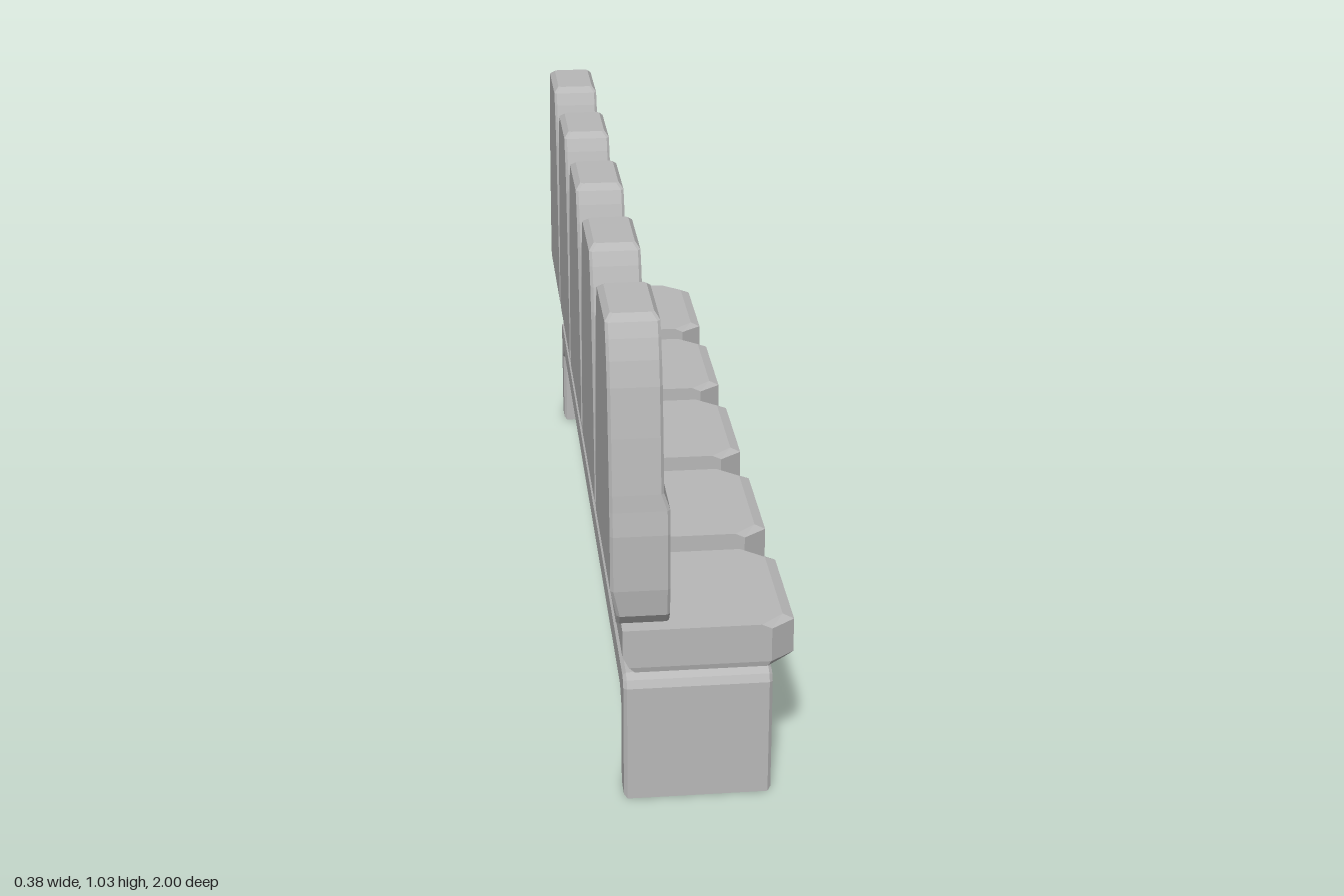
import * as THREE from 'three';

const grey = new THREE.MeshStandardMaterial({ color: 0xb8b8b8 });
grey.name = 'plain grey';

// Faceted solid through horizontal convex outlines: rows of { y, pts: [[x, z], ...] }
function loft(rows) {
  const pos = [];
  const n = rows[0].pts.length;
  const v = (r, i) => {
    const [x, z] = rows[r].pts[i % n];
    return [x, rows[r].y, z];
  };
  const tri = (a, b, c) => pos.push(...a, ...b, ...c);
  const last = rows.length - 1;
  for (let r = 0; r < last; r++) {
    for (let i = 0; i < n; i++) {
      tri(v(r, i), v(r, i + 1), v(r + 1, i + 1));
      tri(v(r, i), v(r + 1, i + 1), v(r + 1, i));
    }
  }
  for (let i = 1; i < n - 1; i++) {
    tri(v(0, 0), v(0, i + 1), v(0, i));
    tri(v(last, 0), v(last, i), v(last, i + 1));
  }
  const geo = new THREE.BufferGeometry();
  geo.setAttribute('position', new THREE.Float32BufferAttribute(pos, 3));
  geo.computeVertexNormals();
  return geo;
}

// Backrest: [height, rear x, front x, half width], with narrow chamfered edges
function backrestGeometry() {
  const c = 0.006;
  const rows = [
    [0.38, -0.168, -0.077, 0.13],
    [0.395, -0.177, -0.07, 0.16],
    [0.42, -0.177, -0.07, 0.179],
    [0.48, -0.19, -0.07, 0.187],
    [0.60, -0.19, -0.07, 0.187],
    [0.65, -0.19, -0.07, 0.181],
    [0.685, -0.19, -0.082, 0.178],
    [0.80, -0.19, -0.082, 0.164],
    [0.90, -0.19, -0.082, 0.148],
    [0.95, -0.19, -0.082, 0.134],
    [0.99, -0.19, -0.082, 0.118],
    [1.018, -0.19, -0.082, 0.103],
    [1.03, -0.178, -0.092, 0.083],
  ];
  return loft(rows.map(([y, b, f, w]) => ({
    y,
    pts: [
      [f, w - c], [f, c - w], [f - c, -w], [b + c, -w],
      [b, c - w], [b, w - c], [b + c, w], [f - c, w],
    ],
  })));
}

// Cushion: [height, rear x, corner start x, front x, half width, front half width]
function cushionGeometry() {
  const rows = [
    [0.283, -0.14, 0.13, 0.175, 0.164, 0.125],
    [0.295, -0.152, 0.138, 0.188, 0.167, 0.13],
    [0.32, -0.165, 0.138, 0.188, 0.167, 0.13],
    [0.37, -0.165, 0.138, 0.188, 0.167, 0.13],
    [0.38, -0.165, 0.117, 0.165, 0.167, 0.125],
  ];
  return loft(rows.map(([y, b, s, f, w, fw]) => ({
    y,
    pts: [[f, fw], [f, -fw], [s, -w], [b, -w], [b, w], [s, w]],
  })));
}

// Bench frame: a long beam with an end panel at each side, extruded across the depth
function frameGeometry() {
  const half = [
    [0.91, 0.215], [0.935, 0.19], [0.935, 0], [1, 0],
    [1, 0.258], [0.992, 0.274], [0.975, 0.283],
  ];
  const outline = [...half, ...half.map(([z, y]) => [-z, y]).reverse()];
  const shape = new THREE.Shape(outline.map(([z, y]) => new THREE.Vector2(z, y)));
  const bevel = 0.007;
  const geo = new THREE.ExtrudeGeometry(shape, {
    depth: 0.304 - 2 * bevel,
    bevelEnabled: true,
    bevelThickness: bevel,
    bevelSize: bevel,
    bevelOffset: -bevel,
    bevelSegments: 1,
  });
  geo.rotateY(Math.PI / 2);
  geo.translate(-0.165 + bevel, 0, 0);
  return geo;
}

export function createModel() {
  const model = new THREE.Group();
  model.name = 'seatRow';

  const add = (parent, geometry, name) => {
    const mesh = new THREE.Mesh(geometry, grey);
    mesh.name = name;
    parent.add(mesh);
  };

  add(model, frameGeometry(), 'benchFrame');

  // Five identical seats along the bench, facing +x
  const cushion = cushionGeometry();
  const backrest = backrestGeometry();
  for (let i = -2; i <= 2; i++) {
    const seat = new THREE.Group();
    seat.name = `seat${i + 3}`;
    seat.position.z = i * 0.4065;
    add(seat, cushion, 'cushion');
    add(seat, backrest, 'backrest');
    model.add(seat);
  }
  return model;
}
